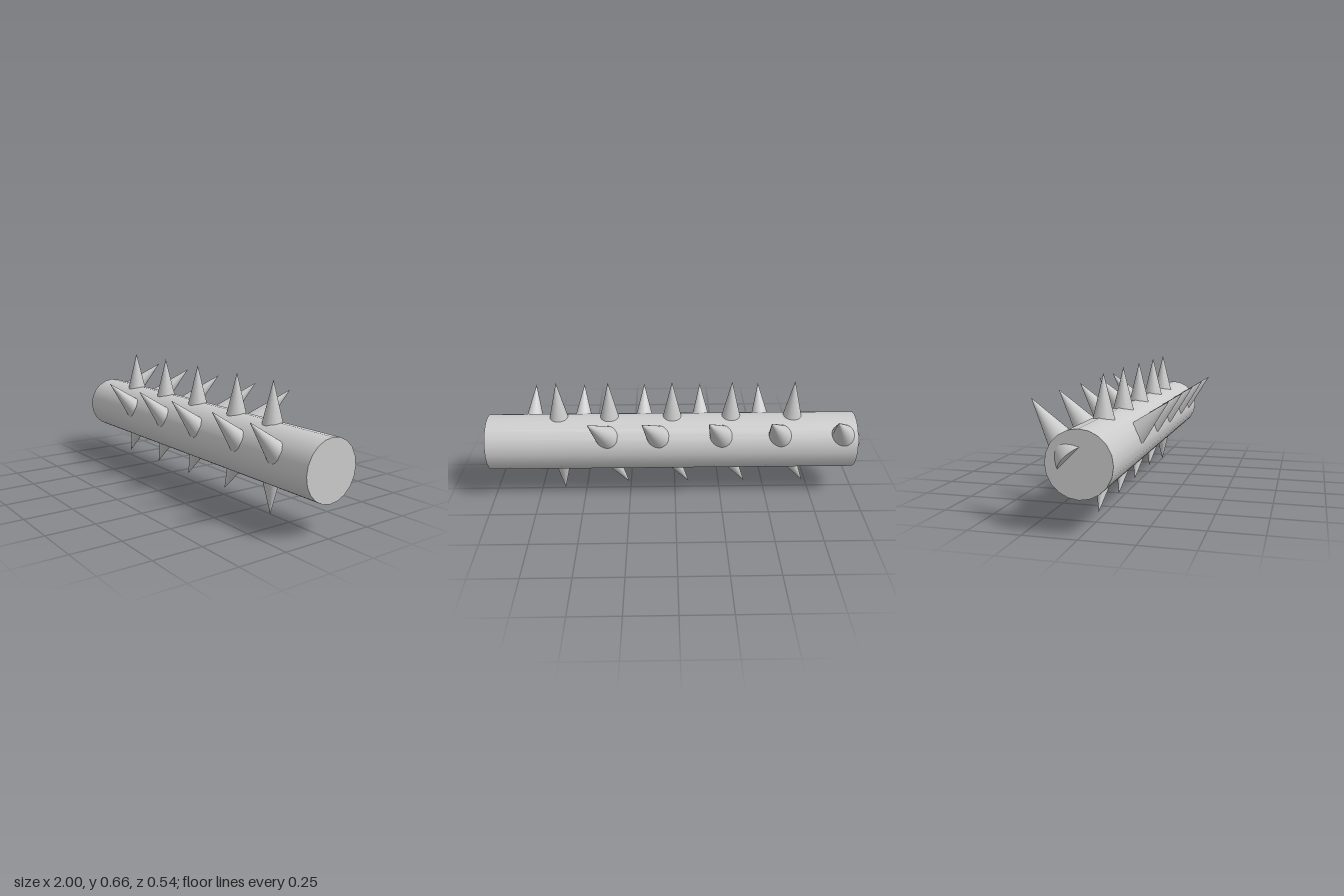
import * as THREE from 'three';

const SPIKE_LENGTH = 0.35, SPIKE_RADIUS = 0.085;
const UP = new THREE.Vector3(0, 1, 0);

export function createModel() {
  const model = new THREE.Group();
  model.name = 'spikedLog';
  const material = new THREE.MeshStandardMaterial({ color: 0xcccccc });

  // Log lying along x
  const logGeometry = new THREE.CylinderGeometry(0.15, 0.15, 1.965, 20);
  logGeometry.rotateZ(Math.PI / 2);
  const log = new THREE.Mesh(logGeometry, material);
  log.name = 'log';
  log.position.set(0.0175, 0.311, -0.003);
  model.add(log);

  // Spike with its tip at the origin, pointing up
  const spikeGeometry = new THREE.ConeGeometry(SPIKE_RADIUS, SPIKE_LENGTH, 32);
  spikeGeometry.translate(0, -SPIKE_LENGTH / 2, 0);

  function addSpike(row, tip, direction) {
    const spike = new THREE.Mesh(spikeGeometry, material);
    spike.name = row.name + 'Spike';
    spike.position.set(...tip);
    spike.quaternion.setFromUnitVectors(UP, new THREE.Vector3(...direction).normalize());
    row.add(spike);
  }

  // Four rows of five spikes: tip height and depth, shared direction, tip x positions
  const rows = [
    { name: 'top', y: 0.66, z: 0.003, dir: [0, 1, 0], xs: [-0.63, -0.3, 0.015, 0.35, 0.62] },
    { name: 'front', y: 0.52, z: 0.272, dir: [0, 1, 1], xs: [-0.475, -0.145, 0.168, 0.505, 0.775] },
    { name: 'back', y: 0.56, z: -0.272, dir: [0.11, 0.235, -0.235], xs: [-0.808, -0.475, -0.163, 0.17, 0.44] },
    { name: 'bottom', y: 0.038, z: 0.003, dir: [-0.52, -0.854, 0], xs: [-0.72, -0.39, -0.077, 0.257] },
  ];
  for (const { name, y, z, dir, xs } of rows) {
    const row = new THREE.Group();
    row.name = name;
    xs.forEach((x) => addSpike(row, [x, y, z], dir));
    // The last bottom spike points straight down
    if (name === 'bottom') addSpike(row, [0.62, 0.002, 0.003], [0, -1, 0.0001]);
    model.add(row);
  }
  return model;
}
